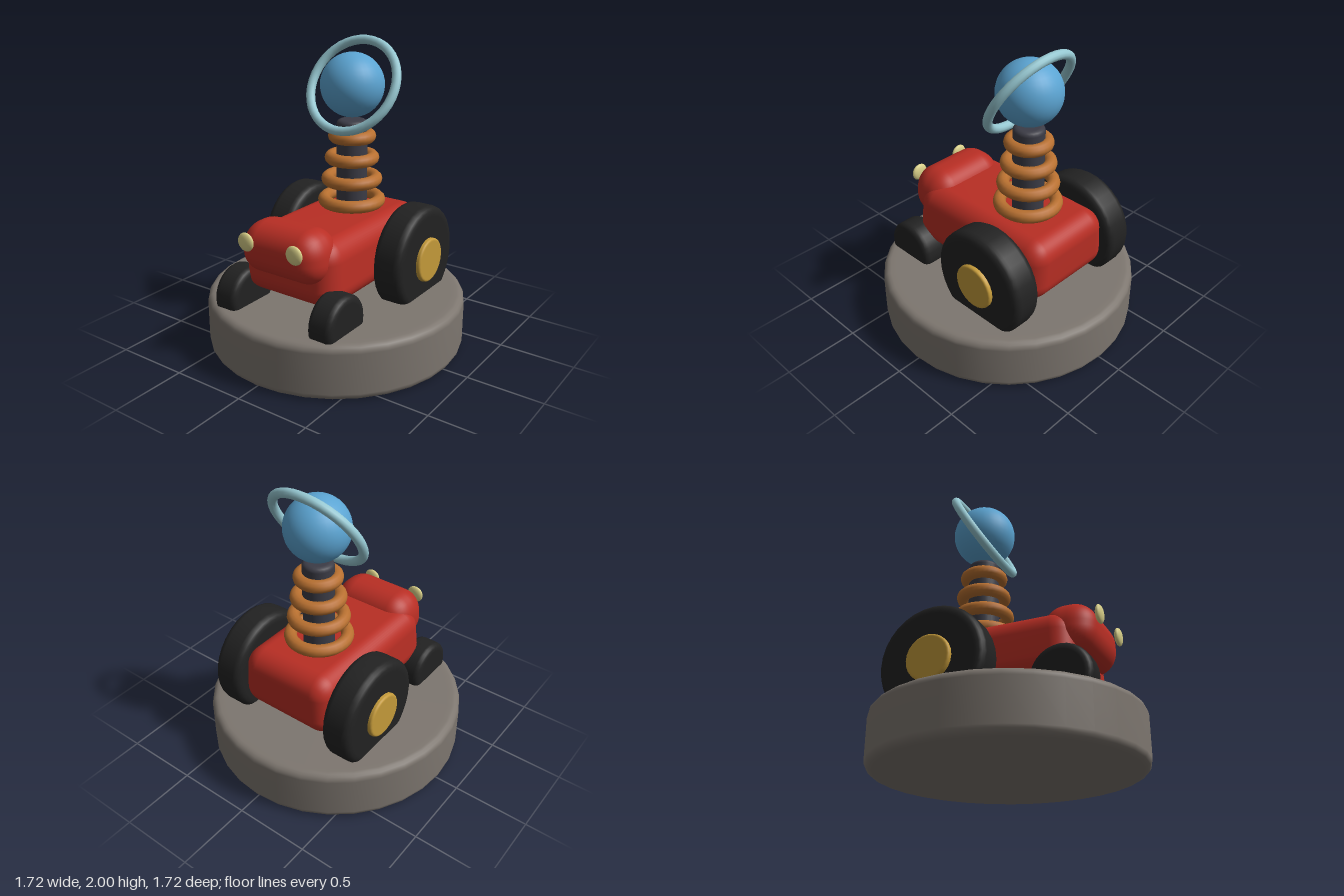
import * as THREE from 'three';
import { mergeVertices } from 'three/addons/utils/BufferGeometryUtils.js';
import { RoundedBoxGeometry } from 'three/addons/geometries/RoundedBoxGeometry.js';

const mat = (name, color) => {
  const m = new THREE.MeshStandardMaterial({ color });
  m.name = name;
  return m;
};

// Disc around the y axis with rounded rims
function roundedDisc(radius, height, bevel, segments) {
  const h = height / 2;
  const pts = [new THREE.Vector2(0, -h), new THREE.Vector2((radius - bevel) * 0.96, -h)];
  for (const side of [-1, 1]) {
    for (let i = 0; i <= 4; i++) {
      const a = (side < 0 ? -Math.PI / 2 : 0) + (i / 4) * (Math.PI / 2);
      pts.push(new THREE.Vector2(radius - bevel + bevel * Math.cos(a), side * (h - bevel) + bevel * Math.sin(a)));
    }
  }
  pts.push(new THREE.Vector2((radius - bevel) * 0.96, h), new THREE.Vector2(0, h));
  return new THREE.LatheGeometry(pts, segments);
}

// Rounded box whose upper part narrows in x and whose upper front leans back
function softBox(w, h, d, radius, topScale, lean) {
  let g = new RoundedBoxGeometry(w, h, d, 6, radius);
  const p = g.attributes.position;
  for (let i = 0; i < p.count; i++) {
    const t = p.getY(i) / h + 0.5;
    p.setX(i, p.getX(i) * (1 + (topScale - 1) * t));
    if (p.getZ(i) > 0) p.setZ(i, p.getZ(i) - lean * t);
  }
  g.deleteAttribute('normal');
  g.deleteAttribute('uv');
  g = mergeVertices(g, 1e-4);
  g.computeVertexNormals();
  return g;
}

export function createModel() {
  const model = new THREE.Group();
  const stone = mat('stone grey', 0x7d766f);
  const red = mat('body red', 0xb82e24);
  const rubber = mat('tyre black', 0x222222);
  const gold = mat('hub gold', 0xc49a3a);
  const cream = mat('lamp cream', 0xd8cf88);
  const iron = mat('post grey', 0x3c3c46);
  const copper = mat('coil copper', 0xb87030);
  const blue = mat('orb blue', 0x5ba4d2);
  const pale = mat('halo pale blue', 0x96c8d2);

  const add = (name, geometry, material, x, y, z) => {
    const m = new THREE.Mesh(geometry, material);
    m.name = name;
    m.position.set(x, y, z);
    model.add(m);
    return m;
  };

  // Round plinth
  add('plinth', roundedDisc(0.858, 0.365, 0.05, 32), stone, 0, 0.1825, 0);

  // Car body and nose
  add('body', softBox(0.73, 0.425, 1.135, 0.13, 0.91, 0.03), red, 0, 0.667, -0.003);
  add('nose', softBox(0.635, 0.337, 0.34, 0.15, 0.9, 0), red, 0, 0.786, 0.49);

  // Wheels, hubs and headlamps
  const rearWheel = roundedDisc(0.355, 0.21, 0.05, 32);
  const frontWheel = roundedDisc(0.19, 0.175, 0.04, 28);
  const hub = roundedDisc(0.148, 0.08, 0.015, 24);
  const lamp = new THREE.SphereGeometry(0.06, 16, 12);
  for (const s of [-1, 1]) {
    const side = s > 0 ? 'left' : 'right';
    add(side + 'RearWheel', rearWheel, rubber, s * 0.443, 0.595, -0.257).rotation.z = Math.PI / 2;
    add(side + 'RearHub', hub, gold, s * 0.537, 0.595, -0.257).rotation.z = Math.PI / 2;
    add(side + 'FrontWheel', frontWheel, rubber, s * 0.368, 0.41, 0.517).rotation.z = Math.PI / 2;
    add(side + 'Headlamp', lamp, cream, s * 0.185, 0.853, 0.681).scale.z = 0.38;
  }

  // Post with shrinking coils
  add('post', roundedDisc(0.102, 0.67, 0.03, 24), iron, 0, 1.14, -0.18);
  for (let i = 0; i < 4; i++) {
    const ring = new THREE.TorusGeometry(0.184 - i * 0.0225, 0.042, 12, 32);
    add('coil' + (i + 1), ring, copper, 0, 0.93 + i * 0.145, -0.18).rotation.x = Math.PI / 2;
  }

  // Orb with its tilted halo
  add('orb', new THREE.SphereGeometry(0.209, 32, 20), blue, 0, 1.7, -0.18);
  add('halo', new THREE.TorusGeometry(0.315, 0.03, 12, 40), pale, 0, 1.698, -0.18).rotation.x = -0.53;

  return model;
}
